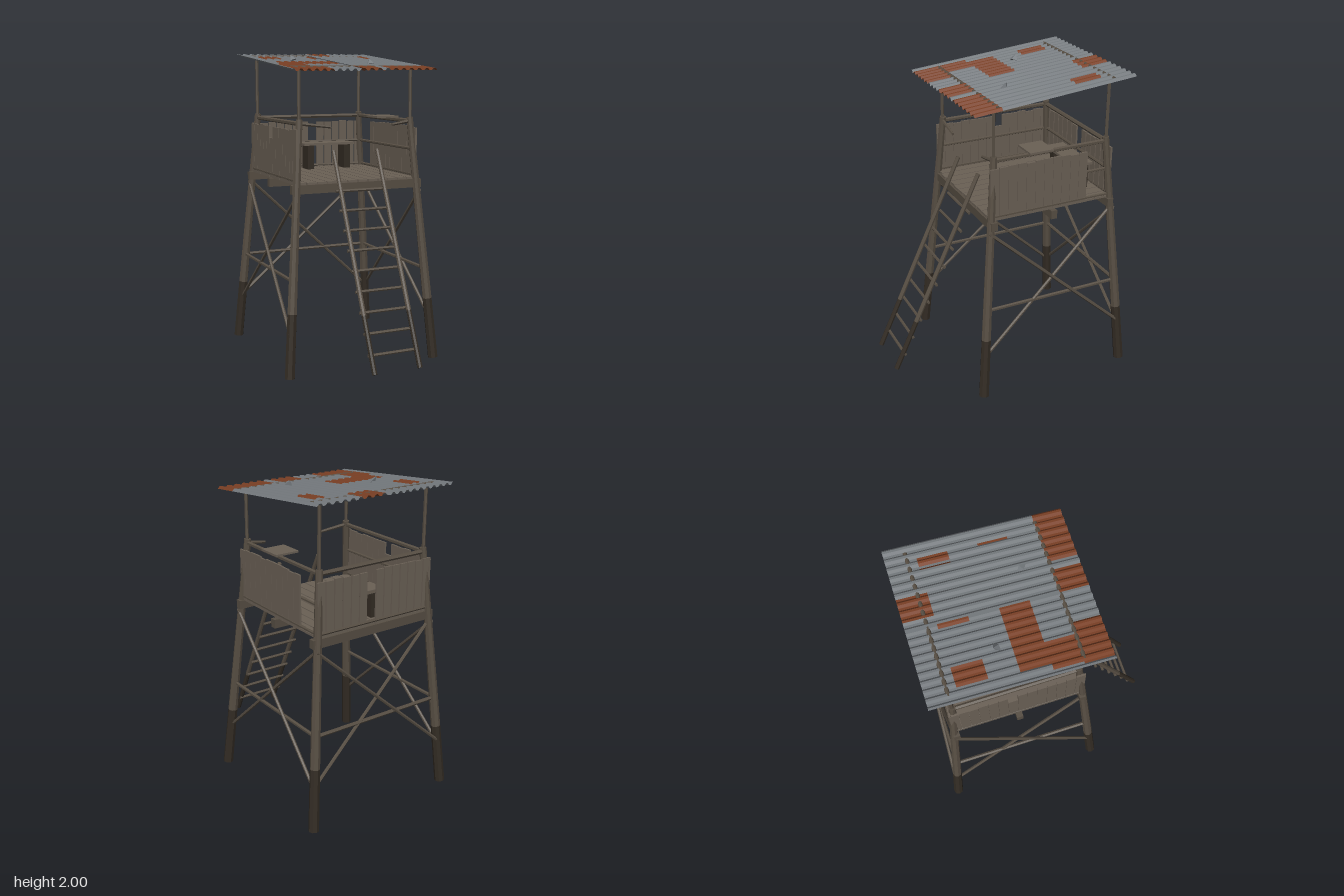
import * as THREE from 'three';

const CZ = -0.22;                       // tower axis in z
const half = y => 0.51 - 0.08 * y;      // half width between the tapering legs
const mat = (name, color, extra = {}) =>
  Object.assign(new THREE.MeshStandardMaterial({ color, ...extra }), { name });
const V = (x, y, z) => new THREE.Vector3(x, y, z);

export function createModel() {
  const root = new THREE.Group();
  root.name = 'watchtower';
  const beamWood = mat('beam wood', 0x574e43);
  const plankWood = mat('plank wood', 0x6a6055);
  const darkWood = mat('damp dark wood', 0x332c24);
  const metal = mat('roof metal', 0x74797d, { side: THREE.DoubleSide });
  const rust = mat('rust', 0x7a3f24, { side: THREE.DoubleSide });

  let seed = 7;
  const rnd = () => (seed = (seed * 16807) % 2147483647) / 2147483647;

  const add = (name, geo, material, parent = root) => {
    const m = new THREE.Mesh(geo, material);
    m.name = name;
    parent.add(m);
    return m;
  };
  const group = name => {
    const g = new THREE.Group();
    g.name = name;
    root.add(g);
    return g;
  };
  // faceted round pole from a to b
  const pole = (name, a, b, r0, r1, material, parent, sides = 8) => {
    let geo = new THREE.CylinderGeometry(r1, r0, a.distanceTo(b), sides).toNonIndexed();
    geo.computeVertexNormals();
    const m = add(name, geo, material, parent);
    m.position.copy(a).lerp(b, 0.5);
    m.quaternion.setFromUnitVectors(V(0, 1, 0), b.clone().sub(a).normalize());
    return m;
  };
  const box = (name, x, y, z, w, h, d, material, parent) => {
    const m = add(name, new THREE.BoxGeometry(w, h, d), material, parent);
    m.position.set(x, y, z);
    return m;
  };
  const corner = (sx, sz, y, o = 0) => V(sx * (half(y) + o), y, CZ + sz * (half(y) + o));
  const roofY = z => 1.893 + (0.33 - z) * 0.0925;

  // legs with damp feet, and thin roof posts
  const legs = group('legs');
  for (const sx of [-1, 1]) for (const sz of [-1, 1]) {
    pole('legFoot', corner(sx, sz, 0), corner(sx, sz, 0.4), 0.033, 0.031, darkWood, legs);
    pole('leg', corner(sx, sz, 0.4), corner(sx, sz, 1.59), 0.031, 0.022, beamWood, legs);
    const p = corner(sx, sz, 1.56);
    pole('roofPost', p, V(p.x, roofY(p.z), p.z), 0.011, 0.011, beamWood, legs, 6);
  }

  // cross bracing and girts on the back and both sides
  const bracing = group('bracing');
  const sides = [[[-1, -1], [1, -1]], [[1, -1], [1, 1]], [[-1, 1], [-1, -1]]];
  for (const [a, b] of sides) {
    pole('brace', corner(...a, 0.28, 0.015), corner(...b, 1.12, 0.015), 0.011, 0.011, beamWood, bracing, 6);
    pole('brace', corner(...a, 1.12), corner(...b, 0.28), 0.011, 0.011, beamWood, bracing, 6);
    pole('girt', corner(...a, 0.6), corner(...b, 0.6), 0.012, 0.012, beamWood, bracing, 6);
    // guard rails at three heights
    pole('topRail', corner(...a, 1.565), corner(...b, 1.565), 0.014, 0.014, beamWood, bracing, 6);
    pole('midRail', corner(...a, 1.385), corner(...b, 1.385), 0.01, 0.01, beamWood, bracing, 6);
    pole('toeRail', corner(...a, 1.215), corner(...b, 1.215), 0.01, 0.01, beamWood, bracing, 6);
  }
  // broken front rail and a loose board on the right-hand rail
  pole('brokenRail', V(-0.385, 1.565, 0.165), V(-0.18, 1.54, 0.18), 0.012, 0.009, beamWood, bracing, 6);
  pole('brokenRail', V(0.385, 1.565, 0.165), V(0.25, 1.545, 0.175), 0.012, 0.009, beamWood, bracing, 6);
  box('looseBoard', 0.34, 1.58, -0.14, 0.16, 0.012, 0.16, plankWood, bracing);

  // floor joists and deck boards
  const deck = group('deck');
  for (const z of [0.187, CZ, -0.625]) box('joist', 0, 1.163, z, 0.9, 0.055, 0.04, beamWood, deck);
  for (let i = 0; i < 12; i++) {
    const d = 0.82 + rnd() * 0.02;
    box('deckBoard', -0.385 + i * 0.07, 1.197, CZ, 0.064, 0.014, d, plankWood, deck);
  }

  // board walls
  const walls = group('walls');
  const W = 0.058;
  for (let i = 0; i < 14; i++) {
    const t = -0.39 + i * 0.06;
    const top = () => 1.52 + rnd() * 0.012;
    const board = (name, x, z, w, d, y1) =>
      box(name, x, (1.19 + y1) / 2, z, w, y1 - 1.19, d, plankWood, walls);
    if (i !== 7) board('backBoard', t, CZ - 0.411, W - 0.006, 0.012, top());
    if (i > 2) board('rightBoard', 0.413, CZ + t, 0.012, W, top());
    board('leftBoard', -0.413, CZ + t, 0.012, W, i === 6 ? 1.45 : top());
  }

  // small bench inside
  const bench = group('bench');
  box('benchSeat', 0.09, 1.378, -0.52, 0.38, 0.016, 0.13, plankWood, bench);
  for (const x of [-0.045, 0.23]) box('benchLeg', x, 1.287, -0.52, 0.045, 0.166, 0.1, darkWood, bench);

  // leaning ladder
  const ladder = group('ladder');
  const lz = y => 0.75 - (y - 0.12) * 0.466;
  for (const x of [-0.152, 0.152]) {
    pole('ladderFoot', V(x, 0.12, lz(0.12)), V(x, 0.44, lz(0.44)), 0.017, 0.016, darkWood, ladder);
    pole('ladderRail', V(x, 0.44, lz(0.44)), V(x, 1.39, lz(1.39)), 0.016, 0.014, beamWood, ladder);
  }
  for (let i = 0; i < 9; i++) {
    const y = 0.22 + i * 0.1155, z = 0.69 - (y - 0.22) * 0.5;
    pole('rung', V(-0.168, y, z), V(0.168, y, z), 0.01, 0.01, beamWood, ladder, 6);
  }

  // corrugated roof in two sheets; rust patches as [x0, x1, row]
  const roof = group('roof');
  const patches = [
    [-0.4, -0.29, 1], [-0.05, -0.025, 1], [-0.42, -0.025, 3], [-0.45, -0.29, 4], [-0.47, -0.22, 5],
    [0.03, 0.175, 0], [0.308, 0.325, 1], [0.342, 0.395, 1], [0.378, 0.395, 3],
    [-0.03, 0.12, 5], [0.175, 0.5, 5]];
  const sheet = (name, x0, x1, lift) => {
    const cols = 38, rows = 6, out = { metal: [], rust: [] };
    const pt = (i, j) => {
      const z = -0.727 + j * 1.057 / rows;
      return [x0 + (x1 - x0) * i / cols,
        roofY(z) + lift + 0.01 * Math.sin((i + 0.5) * Math.PI / 2), z];
    };
    for (let j = 0; j < rows; j++) for (let i = 0; i < cols; i++) {
      const x = x0 + (x1 - x0) * (i + 0.5) / cols;
      const isRust = patches.some(([a, b, r]) => r === j && x > a && x < b);
      const a = pt(i, j), b = pt(i, j + 1), c = pt(i + 1, j + 1), d = pt(i + 1, j);
      out[isRust ? 'rust' : 'metal'].push(...a, ...b, ...c, ...a, ...c, ...d);
    }
    for (const key of ['metal', 'rust']) {
      const g = new THREE.BufferGeometry();
      g.setAttribute('position', new THREE.Float32BufferAttribute(out[key], 3));
      g.computeVertexNormals();
      add(name + (key === 'rust' ? 'Rust' : ''), g, key === 'rust' ? rust : metal, roof);
    }
  };
  sheet('roofSheetRight', -0.49, -0.015, -0.002);
  sheet('roofSheetLeft', -0.03, 0.487, 0.002);

  // purlins under the sheets
  for (const z of [0.16, -0.605])
    pole('purlin', V(-0.44, roofY(z) - 0.005, z), V(0.44, roofY(z) - 0.005, z), 0.012, 0.012, beamWood, roof);

  // torn metal flaps standing up from the roof
  for (const [x, z, turn] of [[-0.25, -0.29, 0.4], [0.18, -0.01, 2]]) {
    const g = new THREE.ConeGeometry(0.032, 0.045, 4).toNonIndexed();
    g.computeVertexNormals();
    const m = add('tornFlap', g, metal, roof);
    m.position.set(x, roofY(z) + 0.018, z);
    m.rotation.set(-0.7, turn, 0.3);
    m.scale.set(1, 1, 0.6);
  }
  return root;
}
